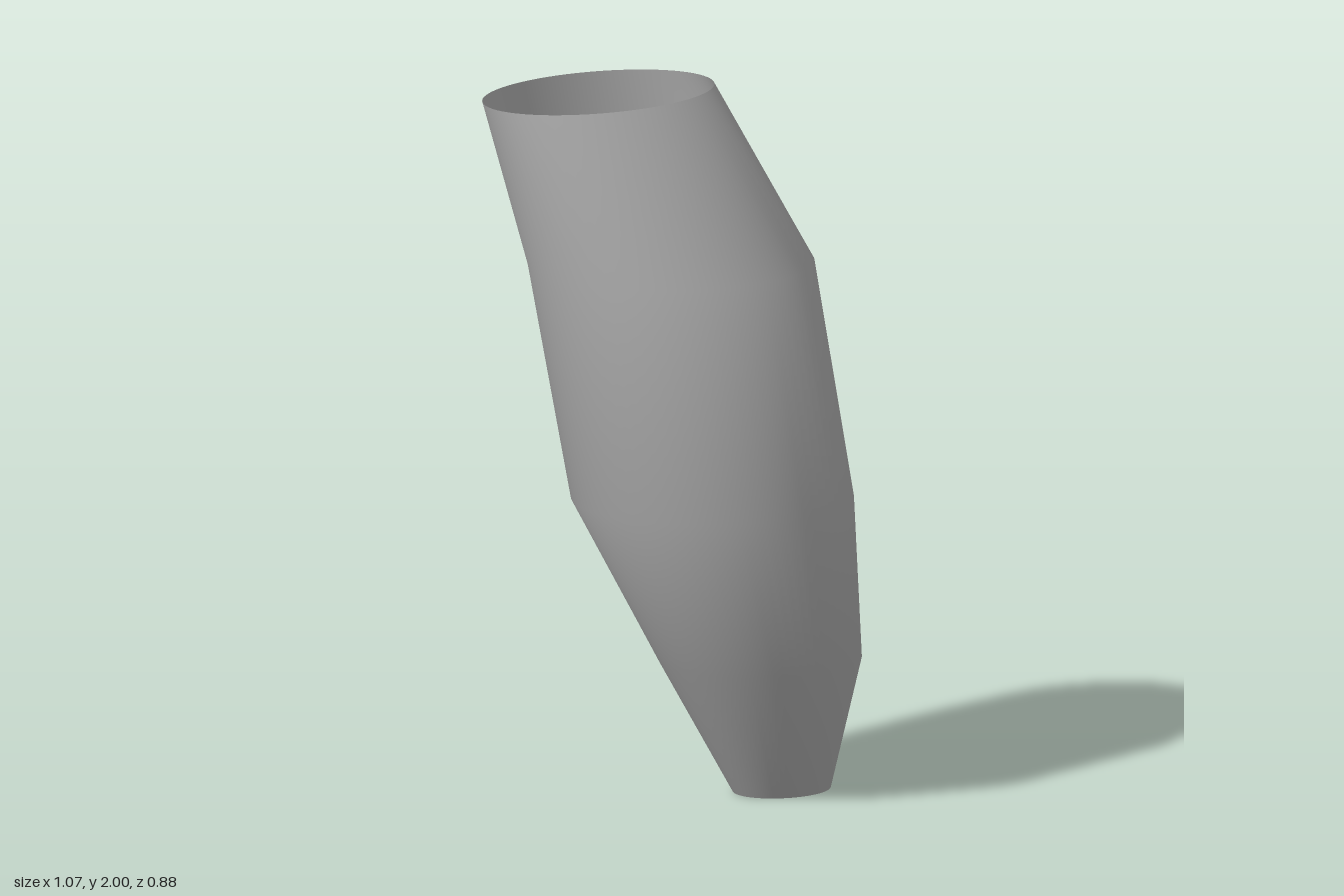
import * as THREE from 'three';
import { mergeVertices } from 'three/addons/utils/BufferGeometryUtils.js';

// Elliptical stations from top to bottom: y, x min, x max, z min, z max
const stations = [
  [2.0, -0.535, -0.02, -0.325, 0.438],
  [1.53, -0.45, 0.36, -0.438, 0.4],
  [0.865, -0.28, 0.53, -0.438, 0.38],
  [0.39, -0.06, 0.49, -0.438, 0.17],
  [0.0, 0.11, 0.36, -0.35, -0.045],
];

export function createModel() {
  const group = new THREE.Group();
  const grey = new THREE.MeshStandardMaterial({ color: 0xa8a8a8, side: THREE.DoubleSide });
  grey.name = 'grey';

  // Open leaning tube: each ring of a unit cylinder becomes an ellipse
  const rows = stations.length - 1;
  let geometry = new THREE.CylinderGeometry(1, 1, 1, 72, rows, true);
  const pos = geometry.attributes.position;
  for (let i = 0; i < pos.count; i++) {
    const [y, x0, x1, z0, z1] = stations[Math.round((0.5 - pos.getY(i)) * rows)];
    pos.setXYZ(i,
      (x0 + x1) / 2 + pos.getX(i) * (x1 - x0) / 2,
      y,
      (z0 + z1) / 2 + pos.getZ(i) * (z1 - z0) / 2);
  }

  // Weld the seam so the shading is smooth all round
  geometry.deleteAttribute('normal');
  geometry.deleteAttribute('uv');
  geometry = mergeVertices(geometry, 1e-4);
  geometry.computeVertexNormals();

  const tube = new THREE.Mesh(geometry, grey);
  tube.name = 'leaningTube';
  group.add(tube);
  return group;
}
